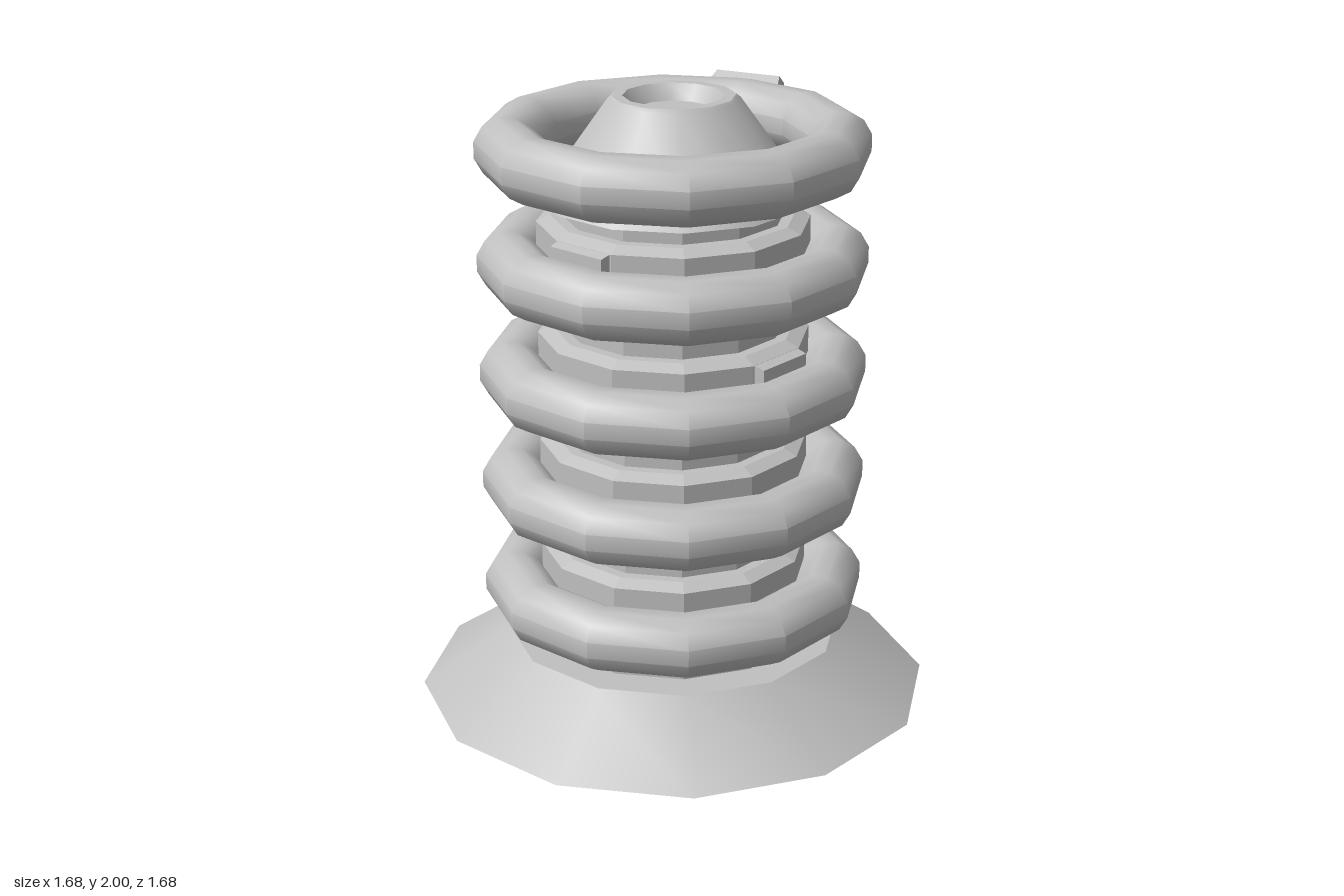
import * as THREE from 'three';
import { toCreasedNormals } from 'three/addons/utils/BufferGeometryUtils.js';

const SIDES = 12;
const FLAT = 0.1;
const SMOOTH = 0.7;
const FIRST_RING = 0.365;
const RING_STEP = 0.3675;

export function createModel() {
  const model = new THREE.Group();
  const grey = new THREE.MeshStandardMaterial({ color: 0xc0c0c0, side: THREE.DoubleSide });
  grey.name = 'plainGrey';

  const add = (name, geometry) => {
    const mesh = new THREE.Mesh(geometry, grey);
    mesh.name = name;
    model.add(mesh);
    return mesh;
  };
  // Twelve-sided turned part from [radius, height] pairs
  const turned = (points, crease) => toCreasedNormals(
    new THREE.LatheGeometry(points.map(([r, y]) => new THREE.Vector2(r, y)), SIDES), crease);

  // Hollow flared foot, open underneath
  add('baseSkirt', turned([[0.84, 0], [0.55, 0.2], [0, 0.2]], 0.6));

  // Column with a bevelled collar behind each of the lower four rings
  const column = [[0.435, 0.2], [0.435, 0.5], [0.39, 0.52], [0.355, 0.52]];
  for (let i = 1; i < 4; i++) {
    const y = FIRST_RING + i * RING_STEP;
    column.push([0.355, y - 0.15], [0.39, y - 0.15], [0.435, y - 0.13],
      [0.435, y + 0.135], [0.39, y + 0.155], [0.355, y + 0.155]);
  }
  column.push([0.355, 1.69]);
  add('column', turned(column, FLAT));

  // Conical cap with a shallow socket in its top
  add('cap', turned([[0.355, 1.675], [0.43, 1.68], [0.208, 1.99], [0.195, 2],
    [0.16, 2], [0.125, 1.95], [0, 1.95]], 0.6));

  // Stacked rings
  const circle = [];
  for (let k = 0; k <= 12; k++) {
    const t = (k + 0.5) * Math.PI / 6 + Math.PI;
    circle.push([0.523 + 0.104 * Math.cos(t), 0.104 * Math.sin(t)]);
  }
  const ringGeometry = turned(circle, SMOOTH);
  for (let i = 0; i < 5; i++) {
    add('ring' + (i + 1), ringGeometry).position.y = FIRST_RING + i * RING_STEP;
  }

  // Raised tab on one facet of each collar, a quarter turn apart
  const tabGeometry = new THREE.BoxGeometry(0.225, 0.3, 0.1);
  const tp = tabGeometry.attributes.position;
  for (let v = 0; v < tp.count; v++) {
    if (tp.getZ(v) > 0) {
      tp.setX(v, tp.getX(v) * 0.93);
      tp.setY(v, tp.getY(v) * 0.84);
    }
  }
  tabGeometry.translate(0, 0, 0.405);
  tabGeometry.computeVertexNormals();
  for (let i = 0; i < 4; i++) {
    const tab = add('collarTab' + (i + 1), tabGeometry);
    tab.position.y = FIRST_RING + i * RING_STEP + (i === 0 ? -0.005 : 0);
    // Facet beside -x, -z, +x, +z in turn
    tab.rotation.y = -Math.PI / 12 - (3 - i) * -Math.PI / 2;
  }

  // Tapered spine joining the rings at the back
  const side = new THREE.Shape([[0.535, 0.19], [0.68, 0.1], [0.68, 1.9], [0.565, 1.95], [0.535, 1.93]]
    .map(([d, y]) => new THREE.Vector2(d, y)));
  const spine = new THREE.ExtrudeGeometry(side, { depth: 2, bevelEnabled: false });
  spine.translate(0, 0, -1);
  spine.rotateY(Math.PI / 2);
  const sp = spine.attributes.position;
  for (let v = 0; v < sp.count; v++) {
    sp.setX(v, sp.getX(v) * (0.08 + (0.68 + sp.getZ(v)) * 0.28));
  }
  add('backSpine', toCreasedNormals(spine, FLAT));

  return model;
}
